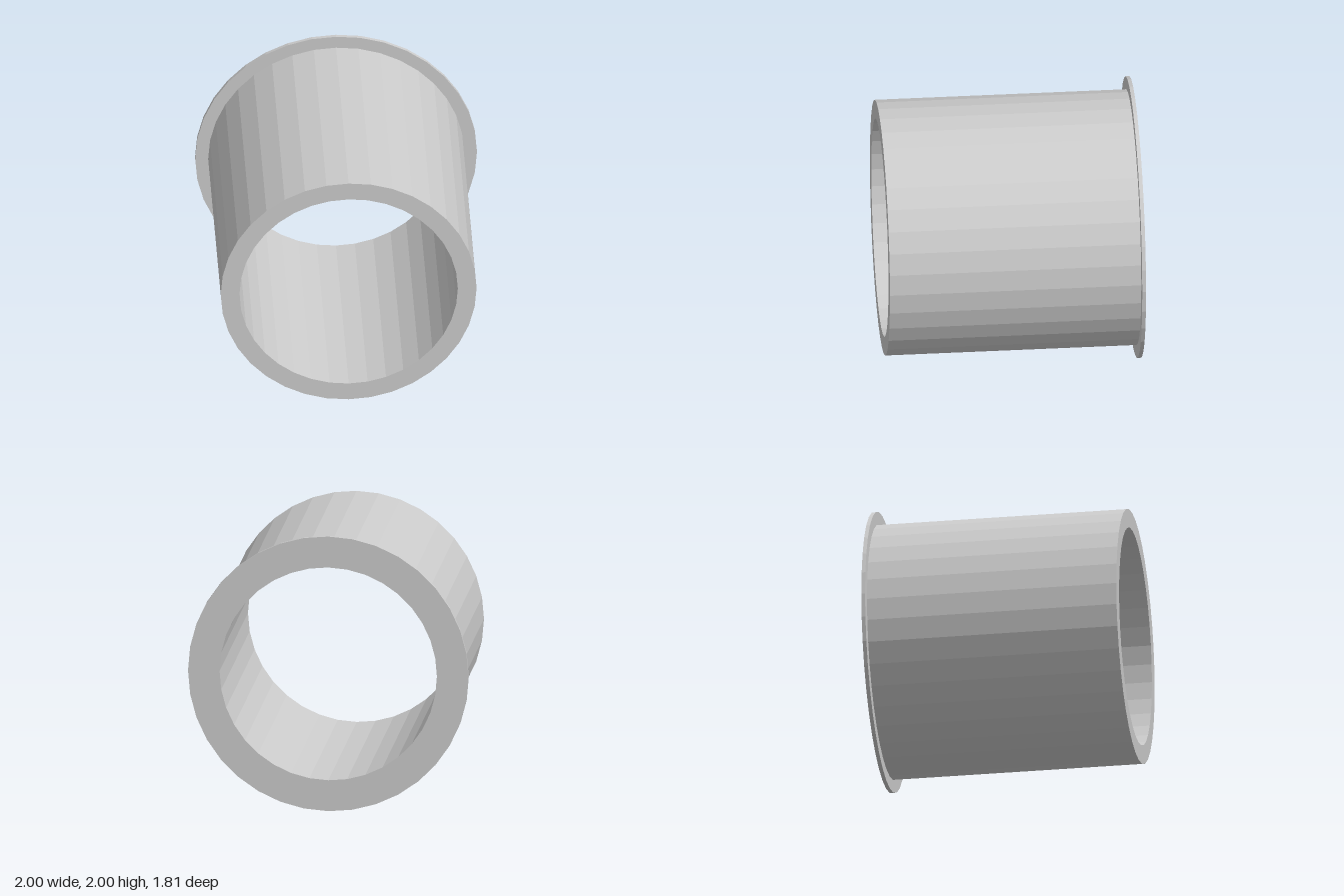
import * as THREE from 'three';

const SIDES = 36;
const OUTER = 0.908, INNER = 0.775, RIM = 1;
const BACK = -0.907, FRONT = 0.907, FLANGE_FRONT = -0.88;

export function createModel() {
  const group = new THREE.Group();
  group.name = 'flangedSleeve';
  const material = new THREE.MeshStandardMaterial({ color: 0xcccccc, flatShading: true });

  // Revolves a [radius, z] profile around the z axis
  const revolve = (name, profile) => {
    const points = profile.map(([r, z]) => new THREE.Vector2(r, z));
    const geometry = new THREE.LatheGeometry(points, SIDES).rotateX(Math.PI / 2);
    const mesh = new THREE.Mesh(geometry, material);
    mesh.name = name;
    mesh.position.y = 1;
    group.add(mesh);
  };

  // Thick tube: outer wall, front ring, inner wall through to the back
  revolve('tube', [[OUTER, FLANGE_FRONT], [OUTER, FRONT], [INNER, FRONT], [INNER, BACK]]);

  // Thin flange: back face, rim, step down to the tube
  revolve('flange', [[INNER, BACK], [RIM, BACK], [RIM, FLANGE_FRONT], [OUTER, FLANGE_FRONT]]);

  return group;
}
